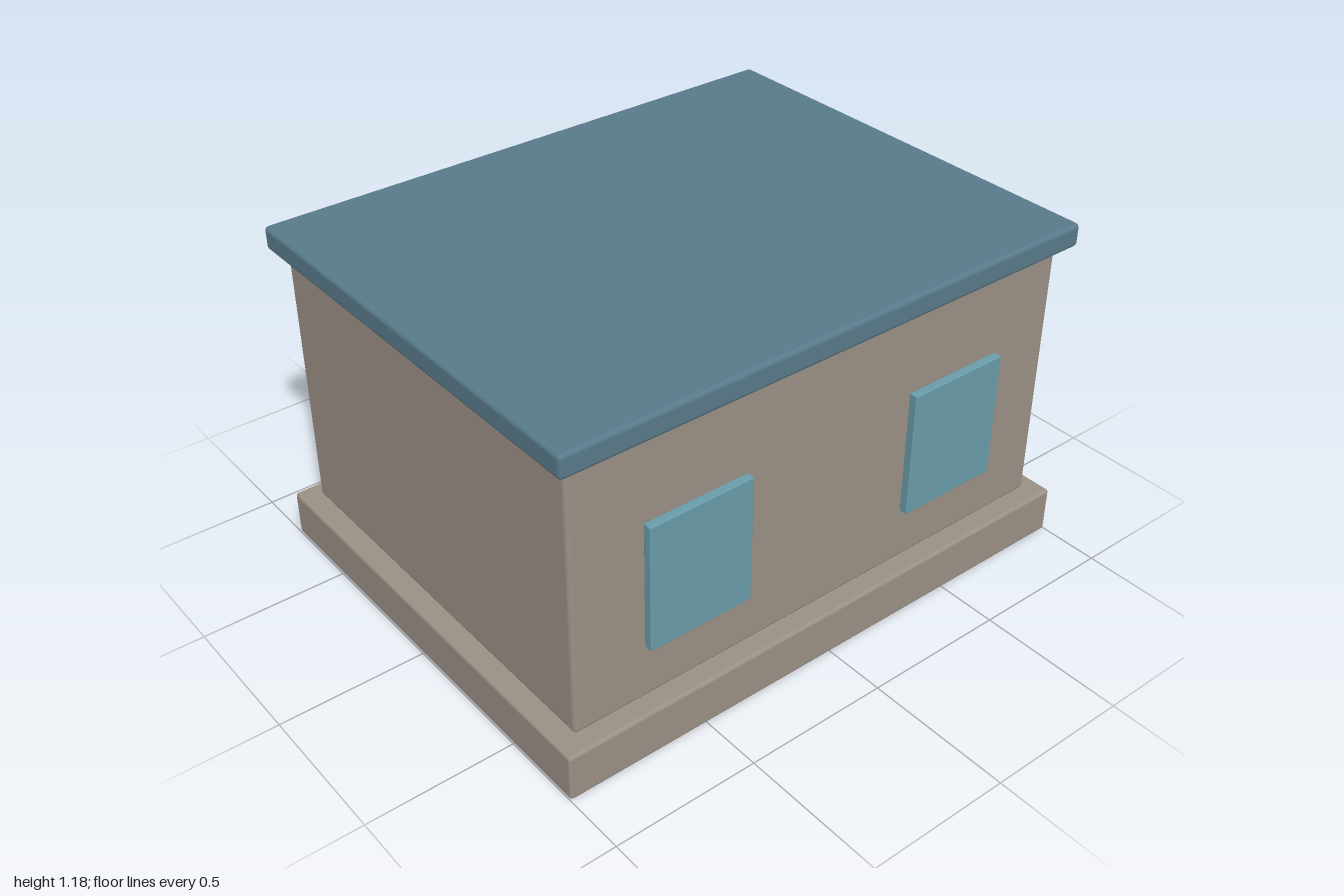
import * as THREE from 'three';
import { RoundedBoxGeometry } from 'three/addons/geometries/RoundedBoxGeometry.js';

const material = (name, color) => {
  const m = new THREE.MeshStandardMaterial({ color });
  m.name = name;
  return m;
};

export function createModel() {
  const model = new THREE.Group();
  model.name = 'house';

  const stone = material('warm grey stone', 0x9a9085);
  const slate = material('slate blue roof', 0x587a8a);
  const glass = material('light blue glass', 0x699caa);

  // Soft-edged block standing on height y, centred on x and z
  const block = (name, mat, w, h, d, x, y, z, radius) => {
    const mesh = new THREE.Mesh(new RoundedBoxGeometry(w, h, d, 3, radius), mat);
    mesh.name = name;
    mesh.position.set(x, y + h / 2, z);
    model.add(mesh);
  };

  block('foundation', stone, 2, 0.165, 1.58, 0, 0, 0, 0.012);
  block('walls', stone, 1.87, 0.932, 1.454, 0, 0.168, 0, 0.015);
  block('roof', slate, 1.96, 0.08, 1.55, 0, 1.1, 0, 0.015);

  // Pair of front windows, set just off the wall
  for (const [name, side] of [['leftWindow', 1], ['rightWindow', -1]]) {
    block(name, glass, 0.37, 0.44, 0.03, side * 0.505, 0.37, 0.75, 0.004);
  }

  return model;
}
